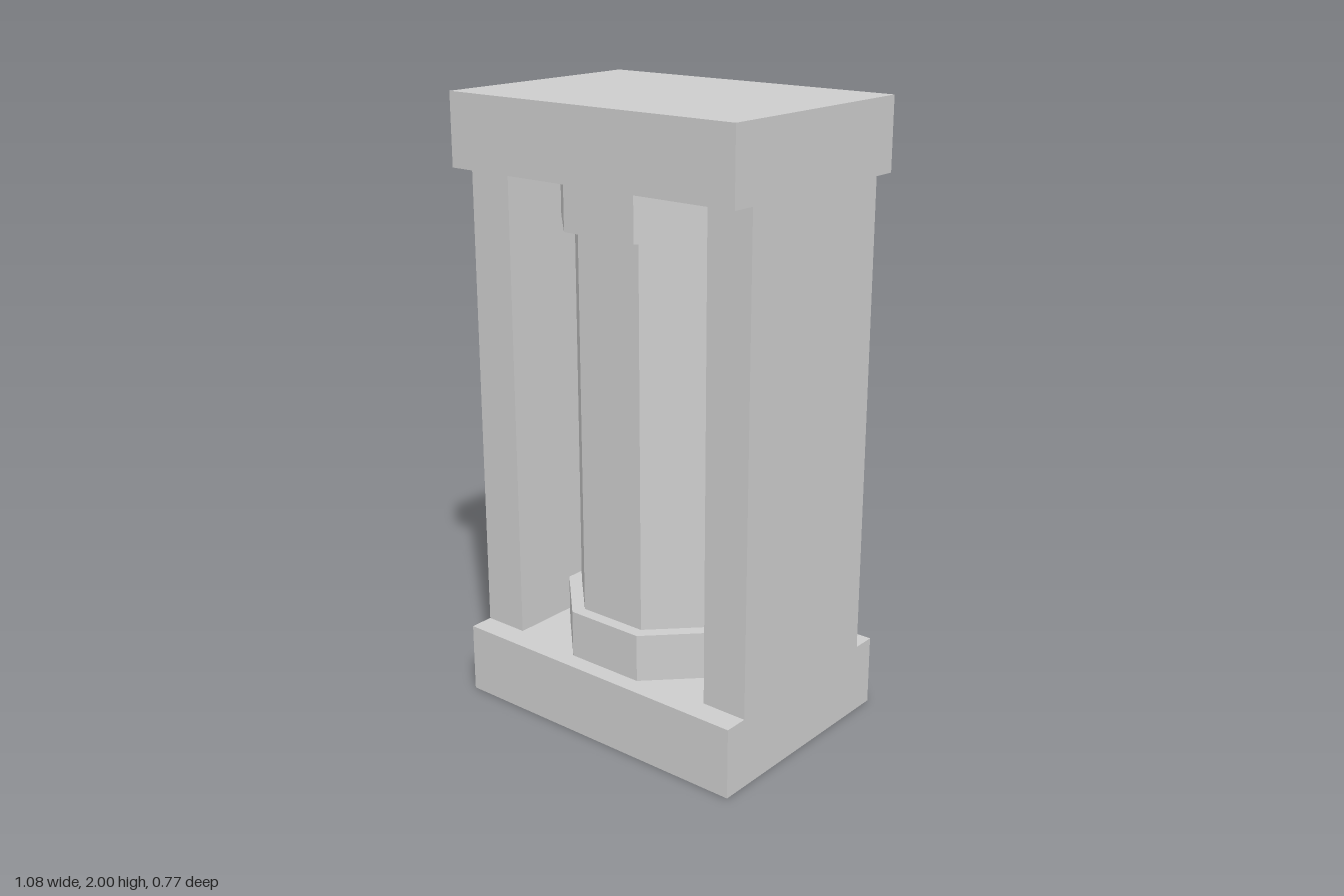
import * as THREE from 'three';

export function createModel() {
  const model = new THREE.Group();
  const grey = new THREE.MeshStandardMaterial({ color: 0xcccccc, flatShading: true });
  grey.name = 'light grey';

  function add(name, geometry, x, y) {
    const mesh = new THREE.Mesh(geometry, grey);
    mesh.name = name;
    mesh.position.set(x, y, 0);
    model.add(mesh);
  }

  // Octagonal prism with a flat side facing the front, sized across its flats
  function octagon(apothem, height) {
    const radius = apothem / Math.cos(Math.PI / 8);
    return new THREE.CylinderGeometry(radius, radius, height, 8).rotateY(Math.PI / 8);
  }

  const slabHeight = 0.23, collarHeight = 0.155;

  // Slabs and collars, mirrored about mid-height
  for (const [end, s] of [['bottom', -1], ['top', 1]]) {
    add(end + 'Slab', new THREE.BoxGeometry(1.076, slabHeight, 0.77), 0, 1 + s * (1 - slabHeight / 2));
    add(end + 'Collar', octagon(0.326, collarHeight), 0, 1 + s * (1 - slabHeight - collarHeight / 2));
  }

  // Central shaft between the collars
  add('shaft', octagon(0.285, 2 - 2 * (slabHeight + collarHeight)), 0, 1);

  // Side walls, flush with the slab ends
  for (const [side, s] of [['left', 1], ['right', -1]]) {
    add(side + 'Wall', new THREE.BoxGeometry(0.154, 2 - 2 * slabHeight, 0.61), s * 0.461, 1);
  }

  return model;
}
